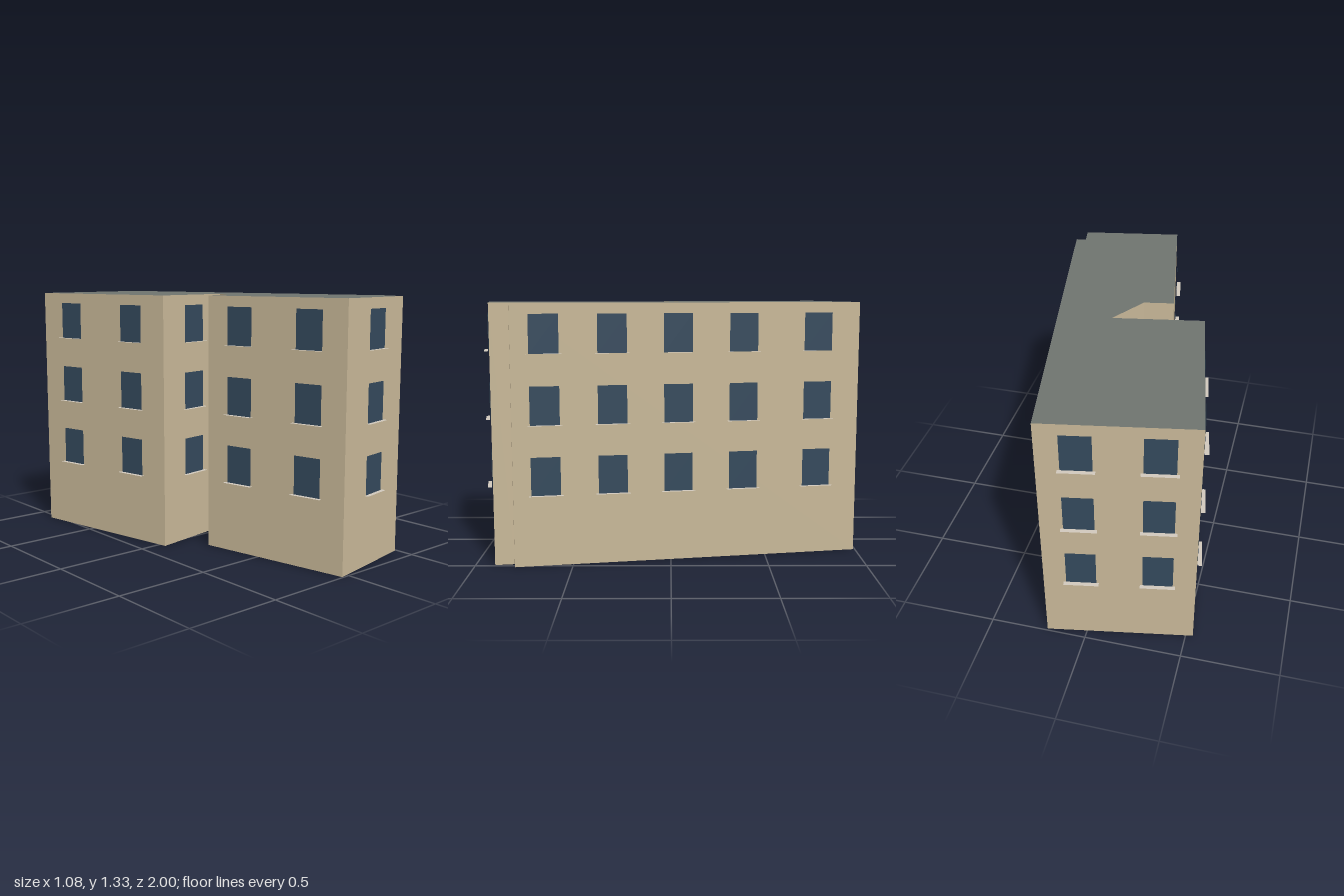
import * as THREE from 'three';

const HEIGHT = 1.333;
const OFFSET = 0.008; // panes and sills stand just clear of the wall

// Footprint corners [x, z], with window positions along the wall that starts at each corner
const FOOTPRINT = [
  { at: [-0.537, -0.858], wall: 'back', windows: [0.25, 0.75] },
  { at: [0.203, -0.99], wall: 'left', windows: [0.125, 0.345, 0.534, 0.721, 0.909] },
  { at: [0.525, 0.793] },
  { at: [0.472, 0.803] },
  { at: [0.488, 0.9], wall: 'front', windows: [0.5] },
  { at: [-0.04, 0.995], wall: 'rightFrontWing', windows: [0.25, 0.75] },
  { at: [-0.187, 0.178] },
  { at: [-0.033, 0.15] },
  { at: [0.09, -0.043], wall: 'recess', windows: [0.5] },
  { at: [-0.375, 0.04], wall: 'rightBackWing', windows: [0.25, 0.75] },
];
const FLOORS = [0.367, 0.725, 1.083]; // window base heights

const paint = (color, side = THREE.FrontSide) => new THREE.MeshStandardMaterial({ color, side });

export function createModel() {
  const model = new THREE.Group();
  model.name = 'building';
  const wallMat = paint(0xc8b898);
  const roofMat = paint(0x6f746f);
  const glassMat = paint(0x34495c, THREE.DoubleSide);
  const sillMat = paint(0xd0c8bc, THREE.DoubleSide);

  // Body: extruded footprint, caps are roof and underside
  const outline = new THREE.Shape(FOOTPRINT.map(({ at: [x, z] }) => new THREE.Vector2(x, -z)));
  const bodyGeo = new THREE.ExtrudeGeometry(outline, { depth: HEIGHT, bevelEnabled: false });
  bodyGeo.rotateX(-Math.PI / 2);
  const body = new THREE.Mesh(bodyGeo, [roofMat, wallMat]);
  body.name = 'wallsAndRoof';
  model.add(body);

  // Window pane and sill, base-centred and facing +z
  const paneGeo = new THREE.PlaneGeometry(0.149, 0.196).translate(0, 0.098, OFFSET);
  const sillGeo = new THREE.PlaneGeometry(0.174, 0.022).rotateX(-Math.PI / 2).translate(0, 0, OFFSET + 0.011);

  FOOTPRINT.forEach(({ at: [x0, z0], wall, windows }, i) => {
    if (!windows) return;
    const [x1, z1] = FOOTPRINT[(i + 1) % FOOTPRINT.length].at;
    const wallGroup = new THREE.Group();
    wallGroup.name = wall + 'Windows';
    for (const t of windows) {
      for (const y of FLOORS) {
        const unit = new THREE.Group();
        unit.name = 'window';
        const pane = new THREE.Mesh(paneGeo, glassMat);
        pane.name = 'pane';
        const sill = new THREE.Mesh(sillGeo, sillMat);
        sill.name = 'sill';
        unit.add(pane, sill);
        unit.position.set(x0 + (x1 - x0) * t, y, z0 + (z1 - z0) * t);
        unit.rotation.y = Math.atan2(z1 - z0, x0 - x1); // outward normal
        wallGroup.add(unit);
      }
    }
    model.add(wallGroup);
  });
  return model;
}
